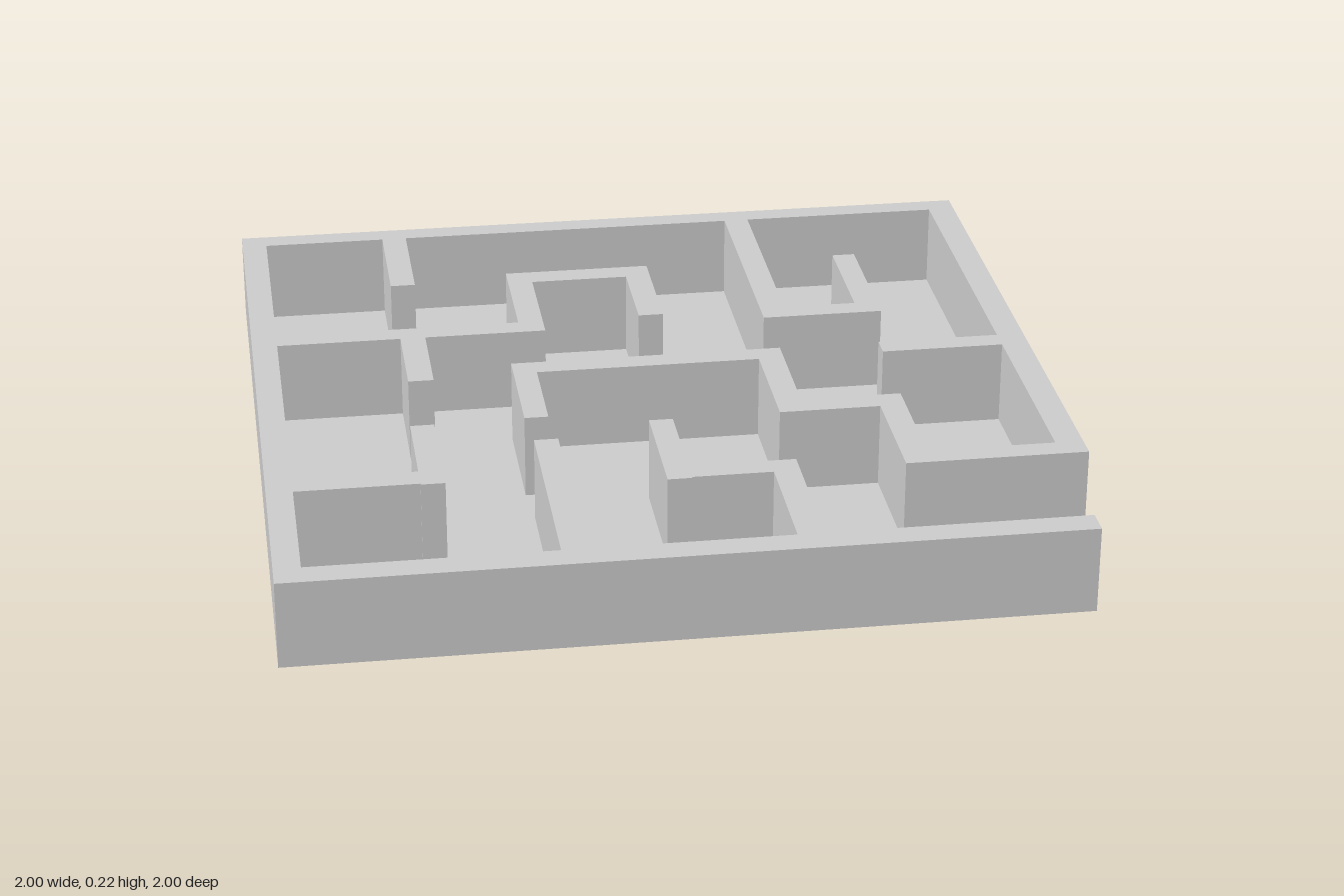
import * as THREE from 'three';

const HEIGHT = 0.22;
const FLOOR = 0.004;

// Each wall run is a list of straight pieces: [x0, x1, z0, z1]
const RUNS = {
  outerWall: [
    [-1, -0.935, -1, 1],
    [-1, 1, -1, -0.94],
    [0.93, 1, -1, 0.605],
    [-1, 0.93, 0.93, 1],
  ],
  backLeftStub: [[-0.615, -0.55, -1, -0.62]],
  backHookWall: [
    [-1, -0.235, -0.34, -0.28],
    [-0.615, -0.55, -0.34, -0.02],
    [-0.3, -0.235, -0.66, -0.28],
    [-0.3, 0.085, -0.66, -0.595],
    [0.02, 0.085, -0.66, -0.34],
  ],
  backCupWall: [
    [0.345, 0.41, -1, -0.28],
    [0.345, 0.66, -0.34, -0.28],
    [0.6, 0.66, -0.66, -0.28],
  ],
  sideStub: [[0.615, 1, -0.09, -0.03]],
  centreStepWall: [
    [-0.345, -0.285, -0.09, 0.23],
    [-0.345, 0.355, -0.09, -0.03],
    [0.29, 0.355, -0.09, 0.285],
    [0.29, 0.61, 0.22, 0.285],
    [0.545, 0.61, 0.22, 0.605],
    [0.545, 1, 0.545, 0.605],
  ],
  frontCornerWall: [
    [-1, -0.57, 0.485, 0.55],
    [-0.63, -0.57, 0.235, 0.555],
  ],
  frontStraightWall: [[-0.335, -0.275, 0.355, 1]],
  frontStepWall: [
    [-0.04, 0.02, 0.285, 0.61],
    [-0.04, 0.285, 0.545, 0.605],
    [0.22, 0.285, 0.545, 1],
  ],
};

export function createModel() {
  const model = new THREE.Group();
  model.name = 'maze';
  const material = new THREE.MeshStandardMaterial({ color: 0xcccccc, flatShading: true });

  // Block standing on the ground over a rectangle in x and z
  const block = (name, [x0, x1, z0, z1], height) => {
    const mesh = new THREE.Mesh(new THREE.BoxGeometry(x1 - x0, height, z1 - z0), material);
    mesh.position.set((x0 + x1) / 2, height / 2, (z0 + z1) / 2);
    mesh.name = name;
    return mesh;
  };

  // Thin floor, flush with the inner face of the wall at the exit
  model.add(block('floor', [-1, 0.93, -1, 1], FLOOR));

  // Walls
  for (const [name, pieces] of Object.entries(RUNS)) {
    const run = new THREE.Group();
    run.name = name;
    pieces.forEach((rect, i) => run.add(block(`${name}Piece${i + 1}`, rect, HEIGHT)));
    model.add(run);
  }
  return model;
}
